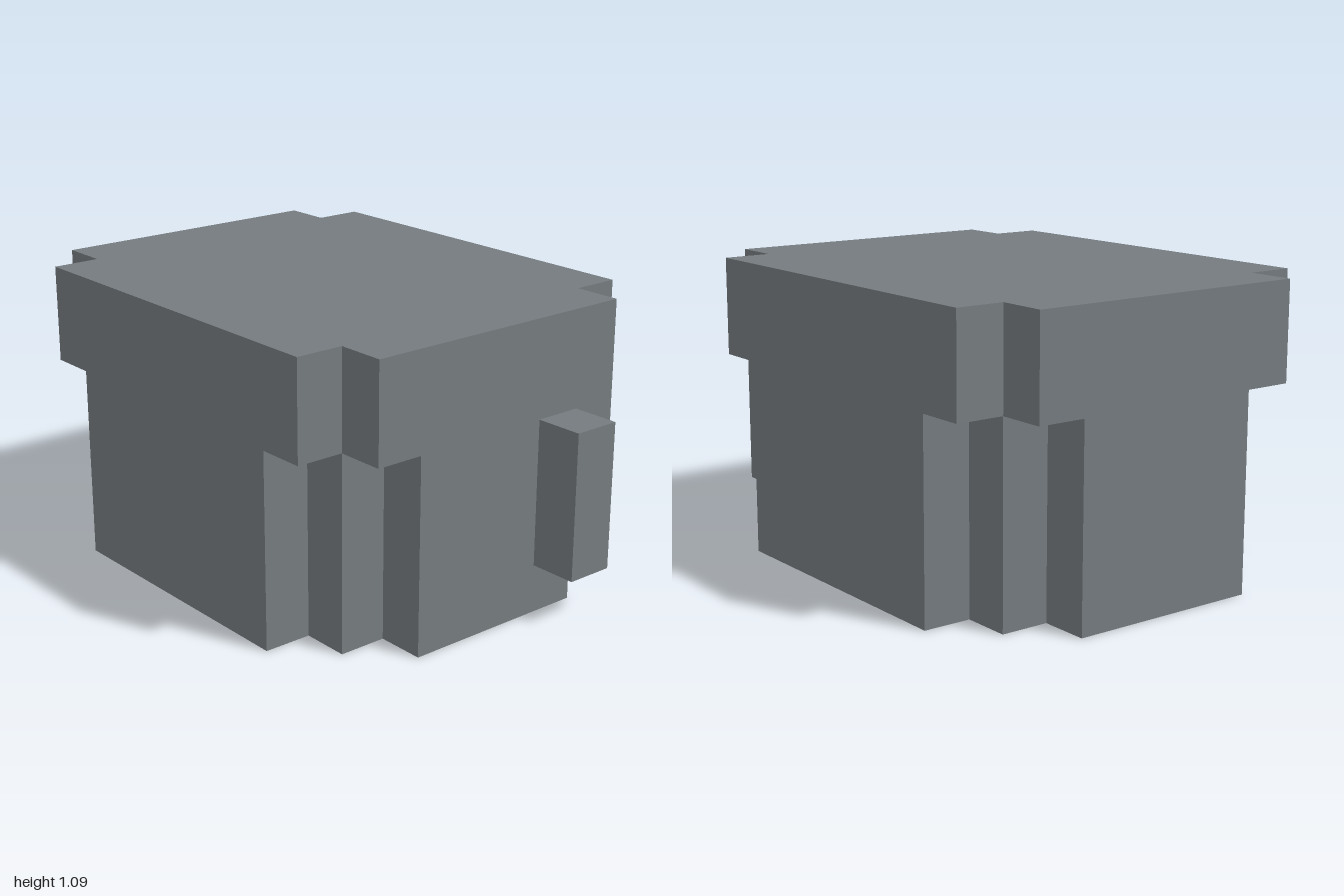
import * as THREE from 'three';

const U = 2 / 11; // block unit: the model is 11 units long

export function createModel() {
  const group = new THREE.Group();
  const grey = new THREE.MeshStandardMaterial({ color: 0x757b7f });
  grey.name = 'slate grey';

  const add = (name, geometry) => {
    const mesh = new THREE.Mesh(geometry, grey);
    mesh.name = name;
    group.add(mesh);
  };

  // Box from its minimum and maximum corners, in units
  const block = (name, [x0, y0, z0], [x1, y1, z1]) => {
    const g = new THREE.BoxGeometry((x1 - x0) * U, (y1 - y0) * U, (z1 - z0) * U);
    g.translate((x0 + x1) / 2 * U, (y0 + y1) / 2 * U, (z0 + z1) / 2 * U);
    add(name, g);
  };

  // Upright slab 8 x 10 units with stair-stepped corners
  const steppedSlab = (name, steps, y0, y1) => {
    const corner = [];
    for (let i = 0; i <= steps; i++) {
      corner.push([4 - i, 5 - steps + i]);
      if (i < steps) corner.push([3 - i, 5 - steps + i]);
    }
    const back = [...corner].reverse();
    const outline = [
      ...corner,
      ...back.map(([x, y]) => [-x, y]),
      ...corner.map(([x, y]) => [-x, -y]),
      ...back.map(([x, y]) => [x, -y]),
    ].map(([x, y]) => new THREE.Vector2(x * U, y * U));
    const g = new THREE.ExtrudeGeometry(new THREE.Shape(outline), {
      depth: (y1 - y0) * U, bevelEnabled: false,
    });
    g.rotateX(-Math.PI / 2);
    g.translate(0, y0 * U, -0.5 * U);
    add(name, g);
  };

  steppedSlab('lowerBody', 2, 0, 4);
  steppedSlab('upperBody', 1, 4, 6);

  // Filled front corner on the model's left, and the handle on the front
  block('cornerPost', [2, 1, 3.5], [3, 4, 4.5]);
  block('frontHandle', [1, 1, 4.5], [2, 4, 5.5]);

  return group;
}
